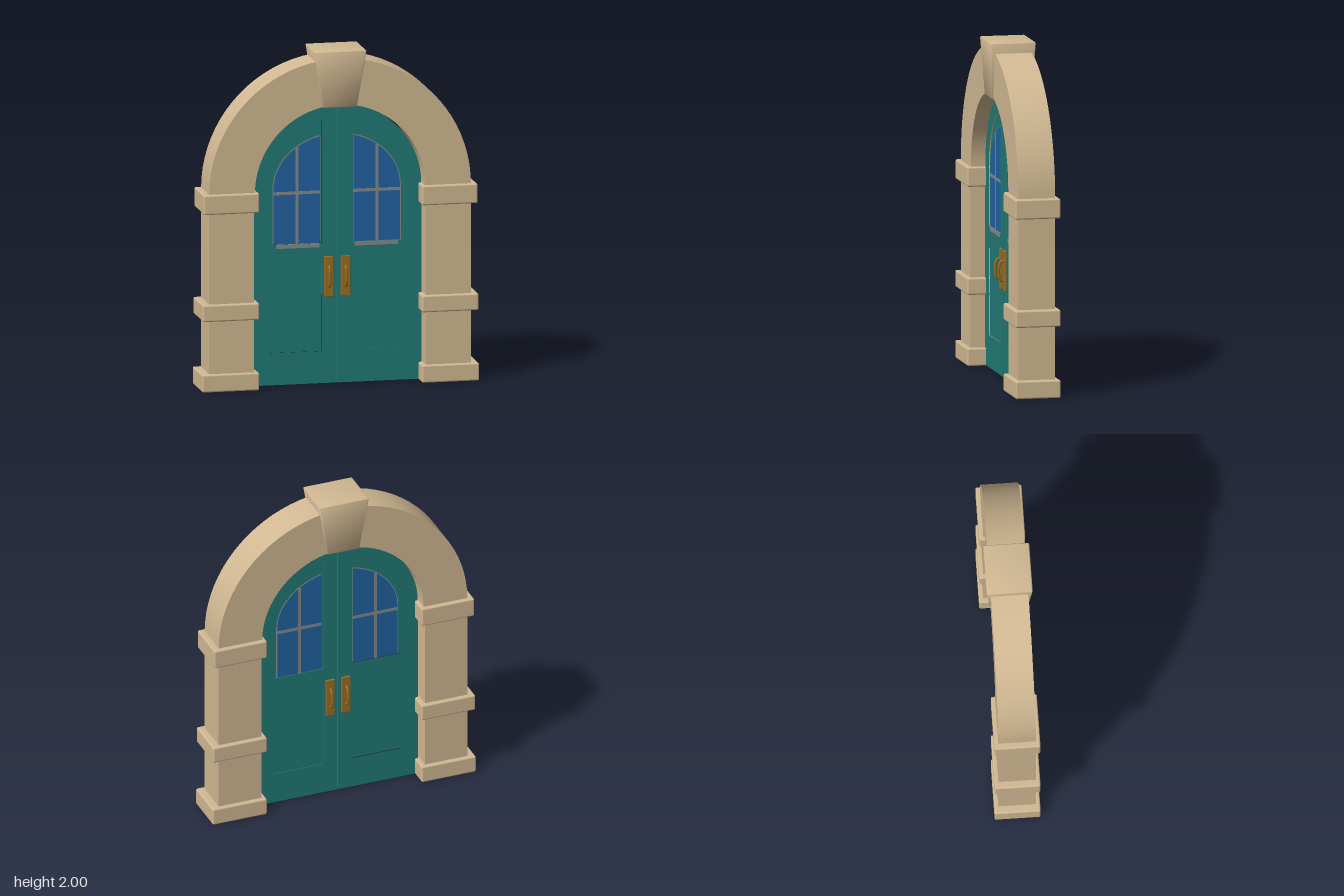
import * as THREE from 'three';
import { toCreasedNormals } from 'three/addons/utils/BufferGeometryUtils.js';
import { RoundedBoxGeometry } from 'three/addons/geometries/RoundedBoxGeometry.js';

const SPRING = 1.17; // height where the arch begins

export function createModel() {
  const mat = (name, color) => {
    const m = new THREE.MeshStandardMaterial({ color });
    m.name = name;
    return m;
  };
  const stone = mat('sandstone', 0xd2b993);
  const teal = mat('teal paint', 0x217a76);
  const glass = mat('blue glass', 0x2163a3);
  const grey = mat('grey glazing bar', 0x848a8c);
  const brass = mat('brass', 0x9c6f22);

  const root = new THREE.Group();
  root.name = 'archedDoorway';
  const model = new THREE.Group();
  model.name = 'doorway';
  model.position.x = -0.008;
  root.add(model);

  const add = (parent, name, geo, material, x = 0, y = 0, z = 0) => {
    const mesh = new THREE.Mesh(geo, material);
    mesh.name = name;
    mesh.position.set(x, y, z);
    parent.add(mesh);
    return mesh;
  };
  const box = (parent, name, material, x0, x1, y0, y1, depth, z = 0) =>
    add(parent, name, new THREE.BoxGeometry(x1 - x0, y1 - y0, depth), material,
      (x0 + x1) / 2, (y0 + y1) / 2, z);
  // Extrude a shape centred on z = 0, smooth along curves and sharp at edges
  const slab = (shape, depth) => {
    const g = new THREE.ExtrudeGeometry(shape, { depth, bevelEnabled: false, curveSegments: 20 });
    g.translate(0, 0, -depth / 2);
    return toCreasedNormals(g, 0.6);
  };

  // Upright outline with an elliptical top; side 1 or -1 chooses the leaf
  const archedPoints = (side, x0, x1, y0, rx, ry, cy) => {
    const pts = [[x0, y0], [x1, y0]];
    const a0 = Math.acos(Math.min(1, x1 / rx)), a1 = Math.acos(x0 / rx);
    for (let i = 0; i <= 18; i++) {
      const a = a0 + (a1 - a0) * i / 18;
      pts.push([rx * Math.cos(a), cy + ry * Math.sin(a)]);
    }
    return pts.map(([x, y]) => new THREE.Vector2(side * x, y));
  };
  const rectPoints = (side, x0, x1, y0, y1) =>
    [[x0, y0], [x1, y0], [x1, y1], [x0, y1]].map(([x, y]) => new THREE.Vector2(side * x, y));

  // Stone arch
  const arch = new THREE.Shape();
  arch.absarc(0, SPRING, 0.782, 0, Math.PI, false);
  arch.absarc(0, SPRING, 0.508, Math.PI, 0, true);
  add(model, 'arch', slab(arch, 0.22), stone);

  // Keystone, tapering downwards
  const key = new RoundedBoxGeometry(0.31, 0.338, 0.27, 2, 0.008);
  const p = key.attributes.position;
  for (let i = 0; i < p.count; i++) {
    const t = 0.5 - p.getY(i) / 0.338;
    p.setX(i, p.getX(i) * (1 - 0.355 * t));
    p.setZ(i, p.getZ(i) * (1 - 0.13 * t));
  }
  add(model, 'keystone', toCreasedNormals(key, 0.7), stone, 0, 1.831, 0);

  for (const side of [1, -1]) {
    const sideName = side > 0 ? 'left' : 'right';

    // Pillar with base, middle band and capital
    const pillar = new THREE.Group();
    pillar.name = sideName + 'Pillar';
    model.add(pillar);
    add(pillar, 'shaft', new THREE.BoxGeometry(0.268, SPRING - 0.01, 0.22), stone,
      side * 0.648, SPRING / 2, 0);
    for (const [name, y0, y1, outer] of [
      ['base', 0, 0.105, 0.828], ['middleBand', 0.42, 0.52, 0.824], ['capital', 1.058, 1.175, 0.818]]) {
      add(pillar, name, new RoundedBoxGeometry(outer - 0.486, y1 - y0, 0.27, 2, 0.01), stone,
        side * (outer + 0.486) / 2, (y0 + y1) / 2, 0);
    }

    // Door leaf: frame with two recessed panels
    const leaf = new THREE.Group();
    leaf.name = sideName + 'DoorLeaf';
    model.add(leaf);
    const upper = archedPoints(side, 0.09, 0.4, 0.84, 0.41, 0.41, SPRING);
    const lower = rectPoints(side, 0.09, 0.4, 0.195, 0.71);
    const frame = new THREE.Shape(archedPoints(side, 0.003, 0.504, 0.004, 0.504, 0.497, SPRING));
    frame.holes.push(new THREE.Path(upper), new THREE.Path(lower));
    add(leaf, 'frame', slab(frame, 0.05), teal);
    add(leaf, 'upperPanel', slab(new THREE.Shape(upper), 0.036), teal);
    add(leaf, 'lowerPanel', slab(new THREE.Shape(lower), 0.04), teal);

    // Window with rim, glass and glazing bars
    const rim = new THREE.Shape(archedPoints(side, 0.098, 0.383, 0.841, 0.383, 0.323, SPRING));
    add(leaf, 'windowRim', slab(rim, 0.039), grey);
    const pane = new THREE.Shape(archedPoints(side, 0.1, 0.377, 0.841, 0.377, 0.317, SPRING));
    add(leaf, 'windowGlass', slab(pane, 0.042), glass);
    const bar = (name, x0, x1, y0, y1, depth, z) =>
      box(leaf, name, grey, Math.min(side * x0, side * x1), Math.max(side * x0, side * x1), y0, y1, depth, z);
    bar('uprightBar', 0.23, 0.248, 0.841, 1.415, 0.048, 0);
    bar('crossBar', 0.1, 0.377, 1.135, 1.153, 0.047, 0);
    bar('windowSill', 0.105, 0.365, 0.815, 0.84, 0.006, 0.024);

    // Handles on both faces
    for (const face of [1, -1]) {
      const handle = new THREE.Group();
      handle.name = face > 0 ? 'frontHandle' : 'backHandle';
      handle.position.set(side * 0.05, 0.64, face * 0.03);
      leaf.add(handle);
      add(handle, 'handlePlate', new RoundedBoxGeometry(0.056, 0.24, 0.014, 2, 0.004), brass);
      const curve = new THREE.CatmullRomCurve3([
        [-0.06, 0], [-0.052, 0.026], [0, 0.036], [0.052, 0.026], [0.06, 0]]
        .map(([y, z]) => new THREE.Vector3(0, y, face * z)));
      add(handle, 'handleGrip', new THREE.TubeGeometry(curve, 20, 0.008, 8), brass);
    }
  }
  return root;
}
